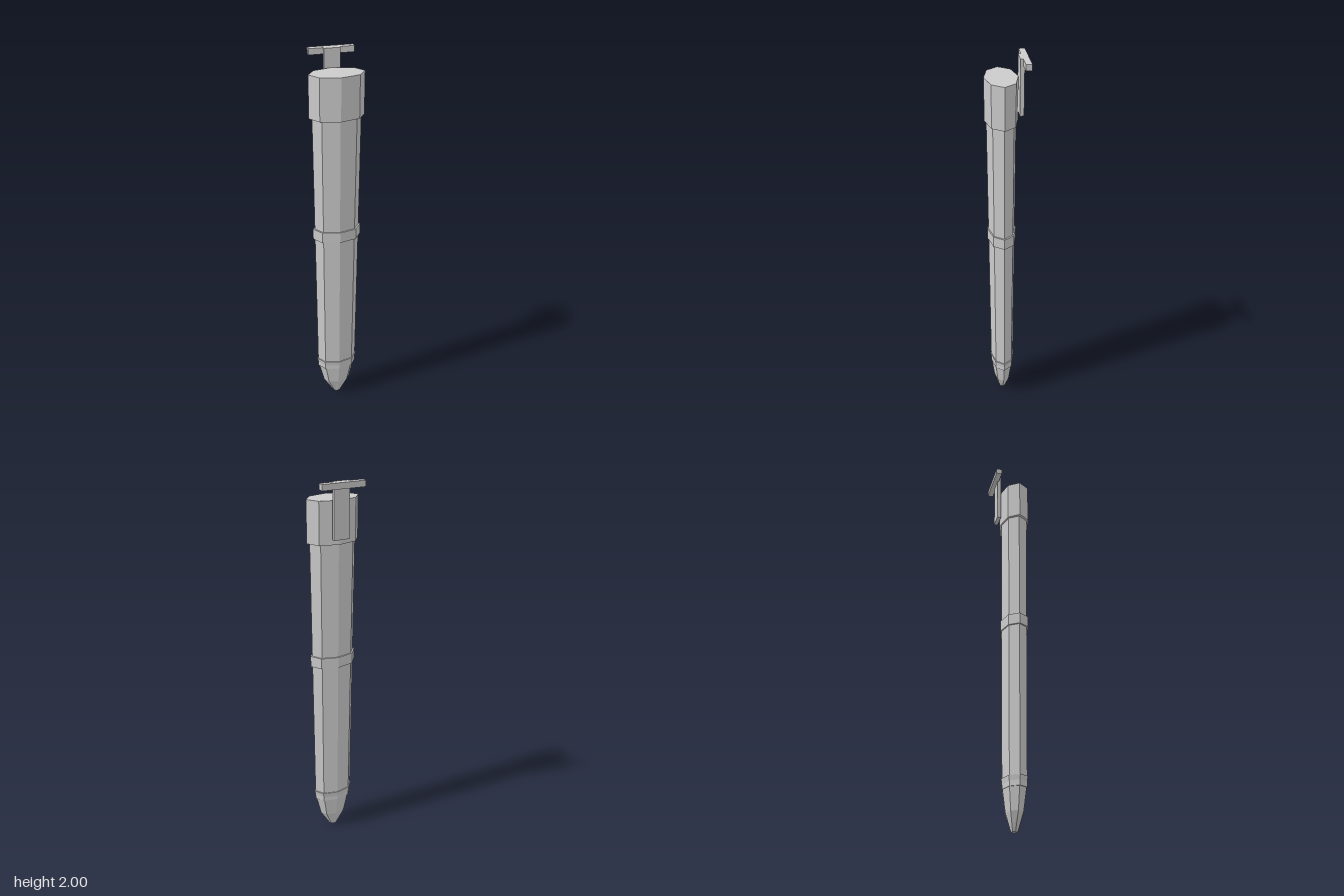
import * as THREE from 'three';

const SIDES = 8;
const CENTRE_Z = 0.022;

export function createModel() {
  const model = new THREE.Group();
  model.name = 'scabbard';
  const material = new THREE.MeshStandardMaterial({ color: 0xcccccc, flatShading: true });

  const add = (name, geometry, x, y, z) => {
    const mesh = new THREE.Mesh(geometry, material);
    mesh.name = name;
    mesh.position.set(x, y, z);
    model.add(mesh);
  };

  // Closed, flattened octagonal section; rings are [y, half width, half depth] from bottom to top
  const section = (name, rings) => {
    const [y0] = rings[0];
    const height = rings[rings.length - 1][0] - y0;
    const geometry = new THREE.CylinderGeometry(1, 1, height, SIDES, rings.length - 1);
    const pos = geometry.attributes.position;
    const last = rings.length - 1;
    for (let i = 0; i < pos.count; i++) {
      const row = Math.round((pos.getY(i) / height + 0.5) * last);
      const [y, rx, rz] = rings[row];
      pos.setXYZ(i, pos.getX(i) * rx, y, pos.getZ(i) * rz);
    }
    geometry.computeVertexNormals();
    add(name, geometry, 0, 0, CENTRE_Z);
  };

  // Sheath: tapering body, middle band, top collar and pointed tip
  section('sheathBody', [[0.2, 0.107, 0.062], [1.72, 0.122, 0.072]]);
  section('middleBand', [[1.038, 0.125, 0.074], [1.096, 0.125, 0.074]]);
  section('collar', [[1.695, 0.137, 0.081], [1.908, 0.137, 0.081]]);
  section('tip', [[0, 0.021, 0.018], [0.09, 0.075, 0.045], [0.252, 0.113, 0.066]]);

  // Hanger behind the collar: upright strap and crossbar
  add('hangerStrap', new THREE.BoxGeometry(0.08, 0.275, 0.02), 0, 1.8625, -0.072);
  add('hangerCrossbar', new THREE.BoxGeometry(0.224, 0.03, 0.03), 0, 1.985, -0.09);

  return model;
}
